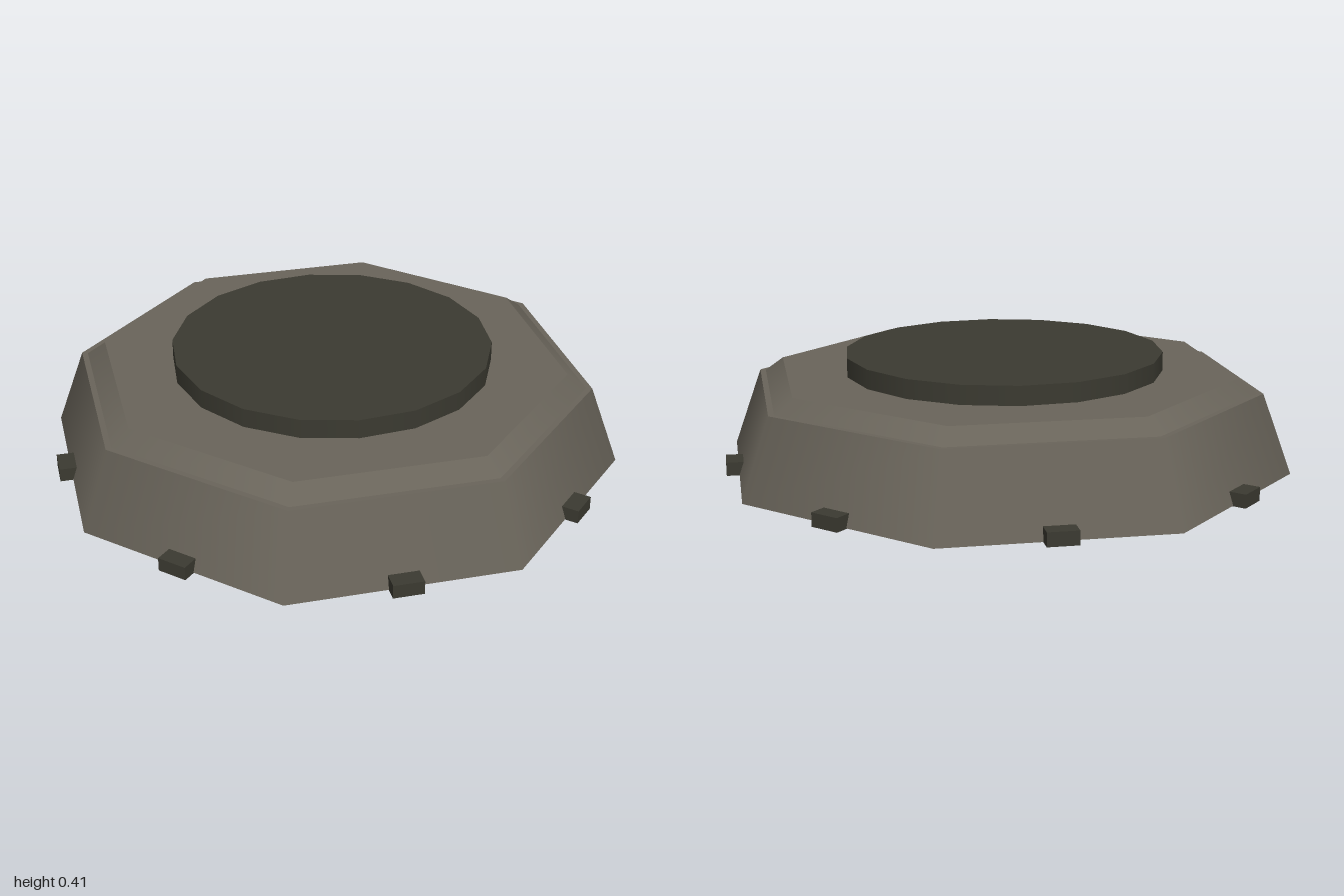
import * as THREE from 'three';

export function createModel() {
  const group = new THREE.Group();
  const stone = new THREE.MeshStandardMaterial({ color: 0x69645a });
  stone.name = 'warmGrey';
  const dark = new THREE.MeshStandardMaterial({ color: 0x3b3a31 });
  dark.name = 'darkOlive';

  const add = (name, geometry, material) => {
    const mesh = new THREE.Mesh(geometry, material);
    mesh.name = name;
    group.add(mesh);
    return mesh;
  };

  // Octagonal frustum given by the distance to its flat sides
  const octagon = (name, topFlat, bottomFlat, y0, y1) => {
    const k = 1 / Math.cos(Math.PI / 8);
    const g = new THREE.CylinderGeometry(topFlat * k, bottomFlat * k, y1 - y0, 8, 1, false, Math.PI / 8);
    g.translate(0, (y0 + y1) / 2, 0);
    add(name, g, stone);
  };
  octagon('base', 0.858, 0.955, 0.002, 0.287);
  octagon('bevelledTop', 0.775, 0.838, 0.287, 0.337);

  // Raised round pad
  const pad = new THREE.CylinderGeometry(0.57, 0.57, 0.07, 18);
  pad.translate(0, 0.37, 0);
  add('pad', pad, dark);

  // One small foot block in the middle of each side
  const foot = new THREE.BoxGeometry(0.105, 0.048, 0.1);
  foot.translate(0, 0.024, 0.95);
  for (let i = 0; i < 8; i++) add('foot' + (i + 1), foot, dark).rotation.y = (i * Math.PI) / 4;

  return group;
}
